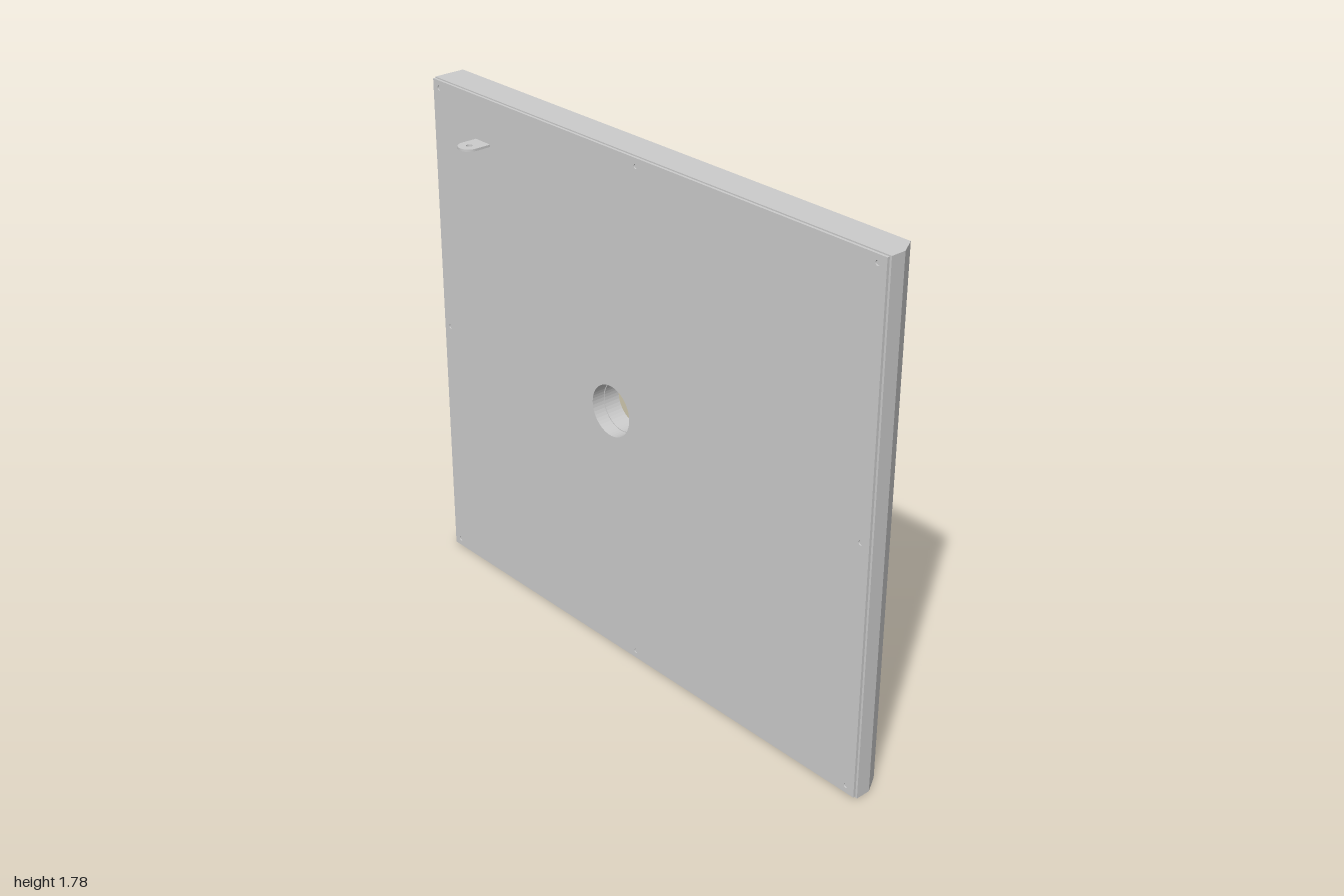
import * as THREE from 'three';

const H = 1.78, T = 0.01;             // cabinet height, sheet thickness
const BACK = -0.11, SEAM = 0.003, FRONT = 0.012;
const PORT = { x: -0.12, y: 0.89, r: 0.089 };

const grey = new THREE.MeshStandardMaterial({ color: 0xcccccc, side: THREE.DoubleSide });
const glass = new THREE.MeshStandardMaterial({ color: 0xcfc8ae });

function polygon(points) {
  return new THREE.Shape(points.map(([x, y]) => new THREE.Vector2(x, y)));
}

function rect(x0, y0, x1, y1) {
  return polygon([[x0, y0], [x1, y0], [x1, y1], [x0, y1]]);
}

function addHole(shape, x, y, r) {
  const hole = new THREE.Path();
  hole.absarc(x, y, r, 0, Math.PI * 2, true);
  shape.holes.push(hole);
}

function extrude(shape, depth, curveSegments = 24) {
  return new THREE.ExtrudeGeometry(shape, { depth, bevelEnabled: false, curveSegments });
}

export function createModel() {
  const model = new THREE.Group();
  model.name = 'wallCabinet';

  function add(name, geometry, material = grey, parent = model) {
    const mesh = new THREE.Mesh(geometry, material);
    mesh.name = name;
    parent.add(mesh);
    return mesh;
  }

  // Horizontal plate: shape is drawn in x and z, its upper face lies at y = top
  const flat = (shape, top, depth) => extrude(shape, depth).rotateX(Math.PI / 2).translate(0, top, 0);

  // Top and bottom plates with the chamfered rear corner
  const outline = polygon([[-1, BACK], [0.965, BACK], [1, -0.05], [1, SEAM], [-1, SEAM]]);
  add('topPlate', flat(outline, H, T));
  add('bottomPlate', flat(outline, T, T));

  // Folded side wall with the chamfer
  const fold = polygon([
    [0.965, BACK], [1, -0.05], [1, SEAM], [1 - T, SEAM], [1 - T, -0.047], [0.959, BACK + T], [0.955, BACK],
  ]);
  add('chamferedSide', flat(fold, H - T, H - 2 * T));

  // Back panel with the small window opening
  const back = rect(-1, T, 0.955, H - T);
  addHole(back, PORT.x, PORT.y, 0.06);
  add('backPanel', extrude(back, T).translate(0, 0, BACK));

  // Perforated side wall: staggered rows of vent holes
  const vent = rect(BACK + T, T, SEAM, H - T);
  const rows = 46, pitch = 0.0172;
  for (let i = 0; i < rows; i++) {
    const shift = i % 2 ? 0.009 : 0;
    for (let j = 0; j < 4; j++) {
      addHole(vent, -0.08 + shift + j * 0.018, 0.49 + i * pitch, 0.006);
    }
  }
  add('ventedSide', extrude(vent, T, 5).rotateY(-Math.PI / 2).translate(-1 + T, 0, 0));

  // Front cover with screw holes and the round port
  const cover = rect(-1, 0.004, 0.993, H - 0.004);
  addHole(cover, PORT.x, PORT.y, PORT.r);
  const screws = [];
  for (const x of [-0.97, 0, 0.96]) {
    for (const y of [0.03, H / 2, H - 0.03]) {
      if (x !== 0 || y !== H / 2) screws.push([x, y]);
    }
  }
  screws.forEach(([x, y]) => addHole(cover, x, y, 0.008));
  add('frontCover', extrude(cover, FRONT - SEAM).translate(0, 0, SEAM));

  // Recessed screw heads
  const screwGroup = new THREE.Group();
  screwGroup.name = 'coverScrews';
  model.add(screwGroup);
  for (const [x, y] of screws) {
    const head = new THREE.CylinderGeometry(0.007, 0.007, 0.006, 12).rotateX(Math.PI / 2);
    add('screw', head, grey, screwGroup).position.set(x, y, SEAM + 0.003);
  }

  // Port: sleeve with a shallow step, closed by a glass pane
  const port = new THREE.Group();
  port.name = 'port';
  port.position.set(PORT.x, PORT.y, 0);
  model.add(port);
  const sleeve = [[0.089, SEAM], [0.089, -0.035], [0.086, -0.035], [0.086, BACK + T], [0.095, BACK + T], [0.095, SEAM]];
  const sleeveGeometry = new THREE.LatheGeometry(sleeve.map(([r, z]) => new THREE.Vector2(r, z)), 48)
    .toNonIndexed().rotateX(Math.PI / 2);
  sleeveGeometry.computeVertexNormals();
  add('portSleeve', sleeveGeometry, grey, port);
  const pane = new THREE.CylinderGeometry(0.086, 0.086, 0.004, 48).rotateX(Math.PI / 2);
  add('windowPane', pane, glass, port).position.z = BACK + T + 0.002;
  const plug = new THREE.CylinderGeometry(0.06, 0.06, T, 48).rotateX(Math.PI / 2);
  add('windowFace', plug, glass, port).position.z = BACK + T / 2 + 0.001;

  // Rounded lug with an eyelet on the front cover
  const lug = new THREE.Shape();
  lug.moveTo(-0.78, FRONT);
  lug.lineTo(-0.705, FRONT);
  lug.lineTo(-0.705, 0.0675);
  lug.absarc(-0.7425, 0.0675, 0.0375, 0, Math.PI, false);
  lug.closePath();
  addHole(lug, -0.7425, 0.0675, 0.011);
  add('lockLug', flat(lug, 1.627, 0.008));

  return model;
}
